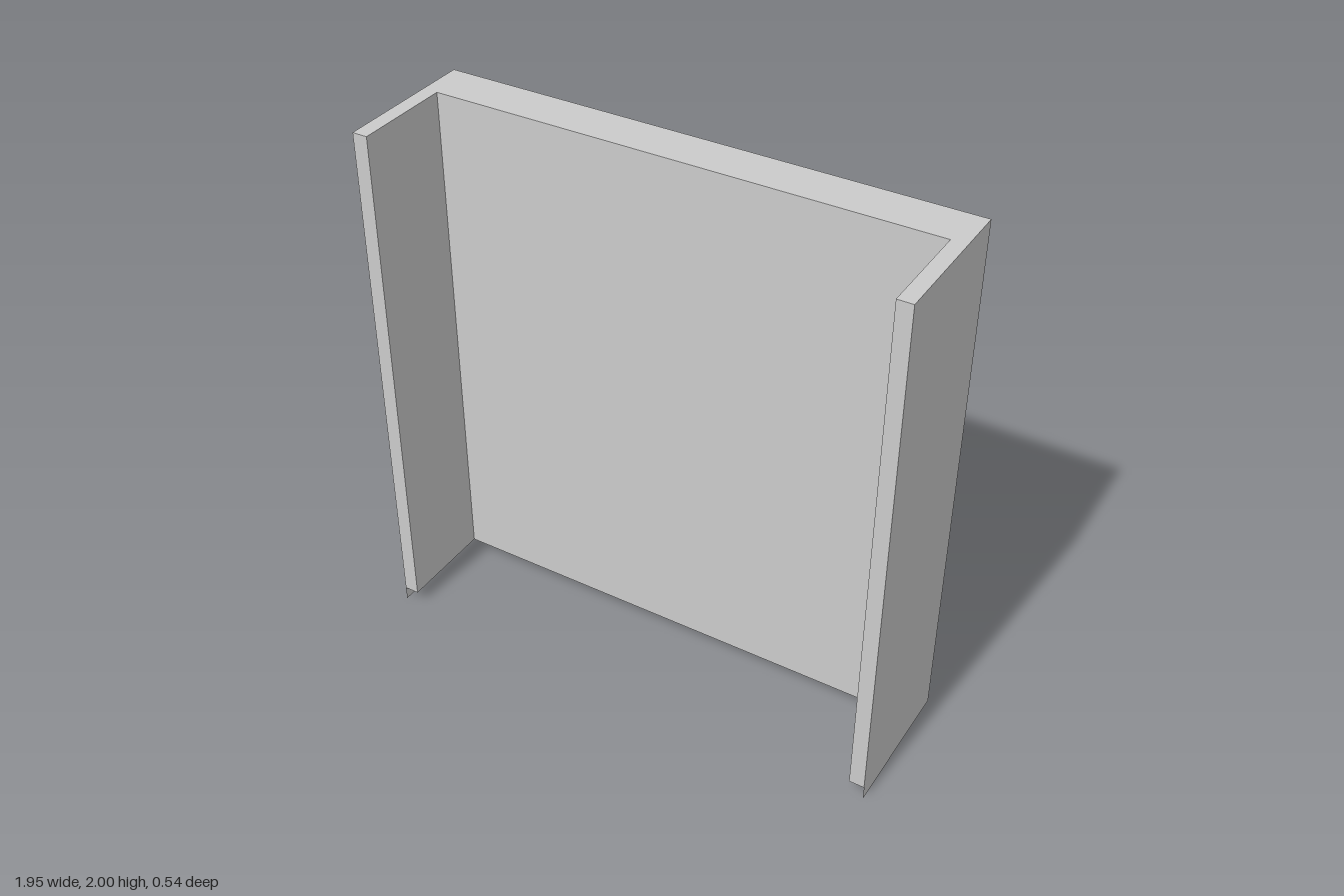
import * as THREE from 'three';

const HEIGHT = 2;
const SKIRT = 0.055; // inner and front walls stop this far above the ground

export function createModel() {
  const group = new THREE.Group();
  const material = new THREE.MeshStandardMaterial({
    color: 0xcccccc, flatShading: true, side: THREE.DoubleSide,
  });

  const X = 0.977, I = 0.921;               // outer and inner half widths
  const front = 0.27, recess = -0.1, back = -0.27;

  // U-shaped outline (x, z), each with the wall that starts there and its lower edge
  const outline = [
    [-X, front, 'rightFrontEdge', SKIRT],
    [-I, front, 'rightInnerWall', SKIRT],
    [-I, recess, 'recessedPanel', SKIRT],
    [I, recess, 'leftInnerWall', SKIRT],
    [I, front, 'leftFrontEdge', SKIRT],
    [X, front, 'leftOuterWall', 0],
    [X, back, 'backWall', 0],
    [-X, back, 'rightOuterWall', 0],
  ];

  // Thin upright walls of the hollow shell
  outline.forEach(([ax, az, name, bottom], i) => {
    const [bx, bz] = outline[(i + 1) % outline.length];
    const dx = bx - ax, dz = bz - az;
    const wall = new THREE.Mesh(
      new THREE.PlaneGeometry(Math.hypot(dx, dz), HEIGHT - bottom), material);
    wall.position.set((ax + bx) / 2, (HEIGHT + bottom) / 2, (az + bz) / 2);
    wall.rotation.y = Math.atan2(-dz, dx);
    wall.name = name;
    group.add(wall);
  });

  // Top cap; the underside stays open
  const shape = new THREE.Shape(outline.map(([x, z]) => new THREE.Vector2(x, -z)));
  const top = new THREE.Mesh(new THREE.ShapeGeometry(shape).rotateX(-Math.PI / 2), material);
  top.position.y = HEIGHT;
  top.name = 'topCap';
  group.add(top);

  return group;
}
